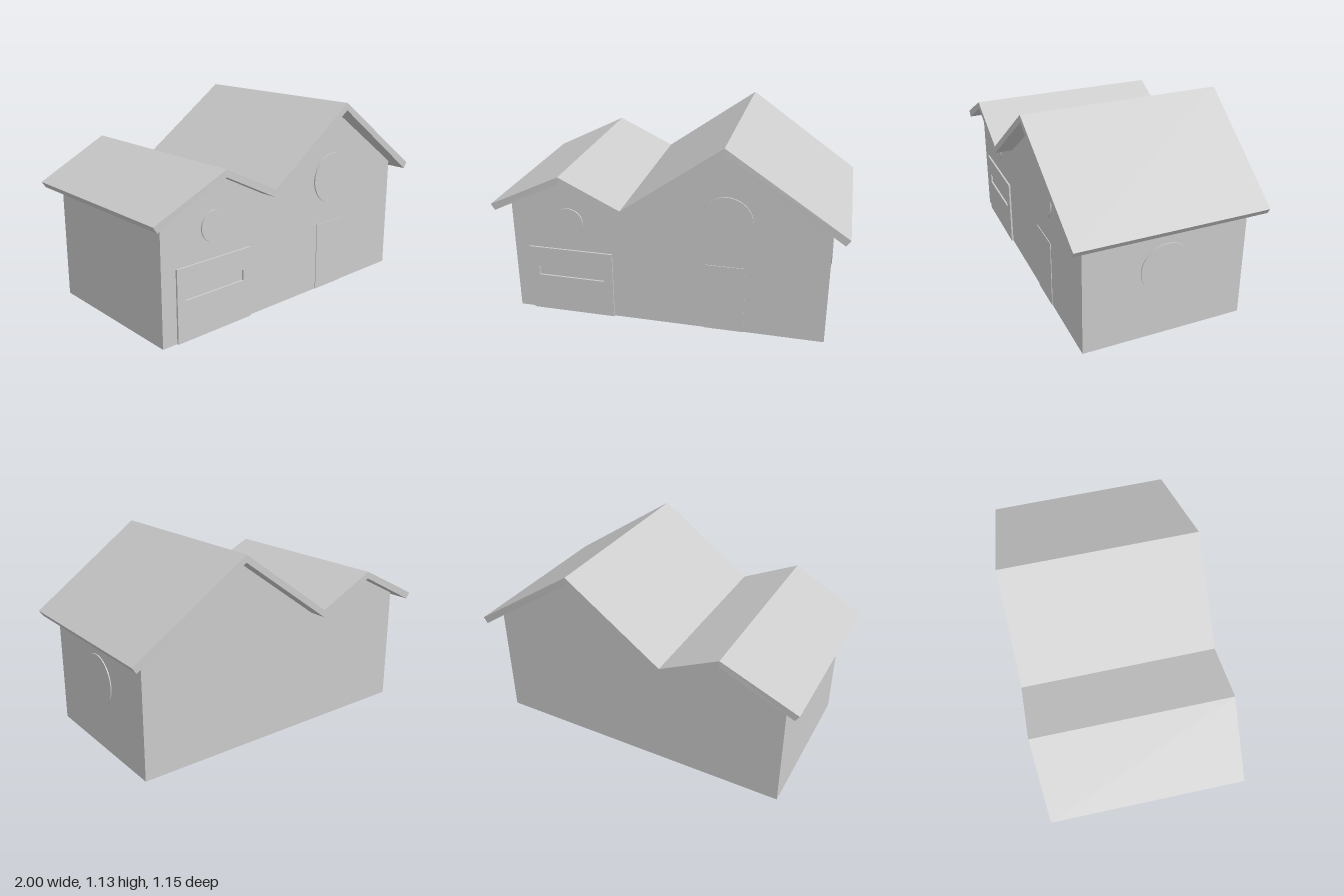
import * as THREE from 'three';

const material = new THREE.MeshStandardMaterial({ color: 0xcccccc, flatShading: true });
const smooth = new THREE.MeshStandardMaterial({ color: 0xcccccc });
const WALL_Z = 0.47;
const WALL_X = 0.91;

const outline = (points) => new THREE.Shape(points.map(([x, y]) => new THREE.Vector2(x, y)));

// Extrudes a shape along z between two planes
function slab(name, shape, z0, z1) {
  const geometry = new THREE.ExtrudeGeometry(shape, { depth: z1 - z0, bevelEnabled: false });
  geometry.translate(0, 0, z0);
  const mesh = new THREE.Mesh(geometry, material);
  mesh.name = name;
  return mesh;
}

const rect = (x0, y0, x1, y1) => [[x0, y0], [x1, y0], [x1, y1], [x0, y1]];

// Thin round window facing +z, centred on its own origin
function roundWindow(name, radius, x, y, z) {
  const geometry = new THREE.CylinderGeometry(radius, radius, 0.016, 48);
  geometry.rotateX(Math.PI / 2);
  const mesh = new THREE.Mesh(geometry, smooth);
  mesh.name = name;
  mesh.position.set(x, y, z);
  return mesh;
}

export function createModel() {
  const house = new THREE.Group();
  house.name = 'house';

  // Ridges and valley shared by the walls and the roof underside
  const peaks = [[-0.57, 0.86], [-0.225, 0.69], [0.34, 1.093]];

  // Walls with the two gables
  house.add(slab('walls', outline([
    [-WALL_X, 0], [WALL_X, 0], [WALL_X, 0.69], ...[...peaks].reverse(), [-WALL_X, 0.69],
  ]), -WALL_Z, WALL_Z));

  // Folded roof sheet, narrowing towards both eaves
  const roof = slab('roof', outline([
    [-0.977, 0.655], ...peaks, [0.976, 0.645],
    [1, 0.68], [0.34, 1.135], [-0.225, 0.733], [-0.57, 0.9], [-1, 0.69],
  ]), -0.575, 0.575);
  const p = roof.geometry.attributes.position;
  for (let i = 0; i < p.count; i++) {
    if (Math.abs(p.getX(i)) > 0.9) p.setZ(i, Math.sign(p.getZ(i)) * 0.546);
  }
  roof.geometry.computeVertexNormals();
  house.add(roof);

  // Garage door with a long slot window
  const garage = outline(rect(-0.82, 0, -0.315, 0.41));
  garage.holes.push(outline(rect(-0.768, 0.228, -0.37, 0.29)));
  house.add(slab('garageDoor', garage, WALL_Z - 0.005, 0.481));

  // Front door
  house.add(slab('frontDoor', outline(rect(0.23, 0, 0.455, 0.41)), WALL_Z - 0.005, 0.474));

  // Round windows on both gables and the left side
  house.add(roundWindow('smallGableWindow', 0.087, -0.567, 0.585, WALL_Z));
  house.add(roundWindow('largeGableWindow', 0.148, 0.343, 0.68, WALL_Z));
  const side = roundWindow('sideWindow', 0.147, WALL_X - 0.002, 0.41, 0);
  side.rotation.y = Math.PI / 2;
  house.add(side);

  return house;
}
